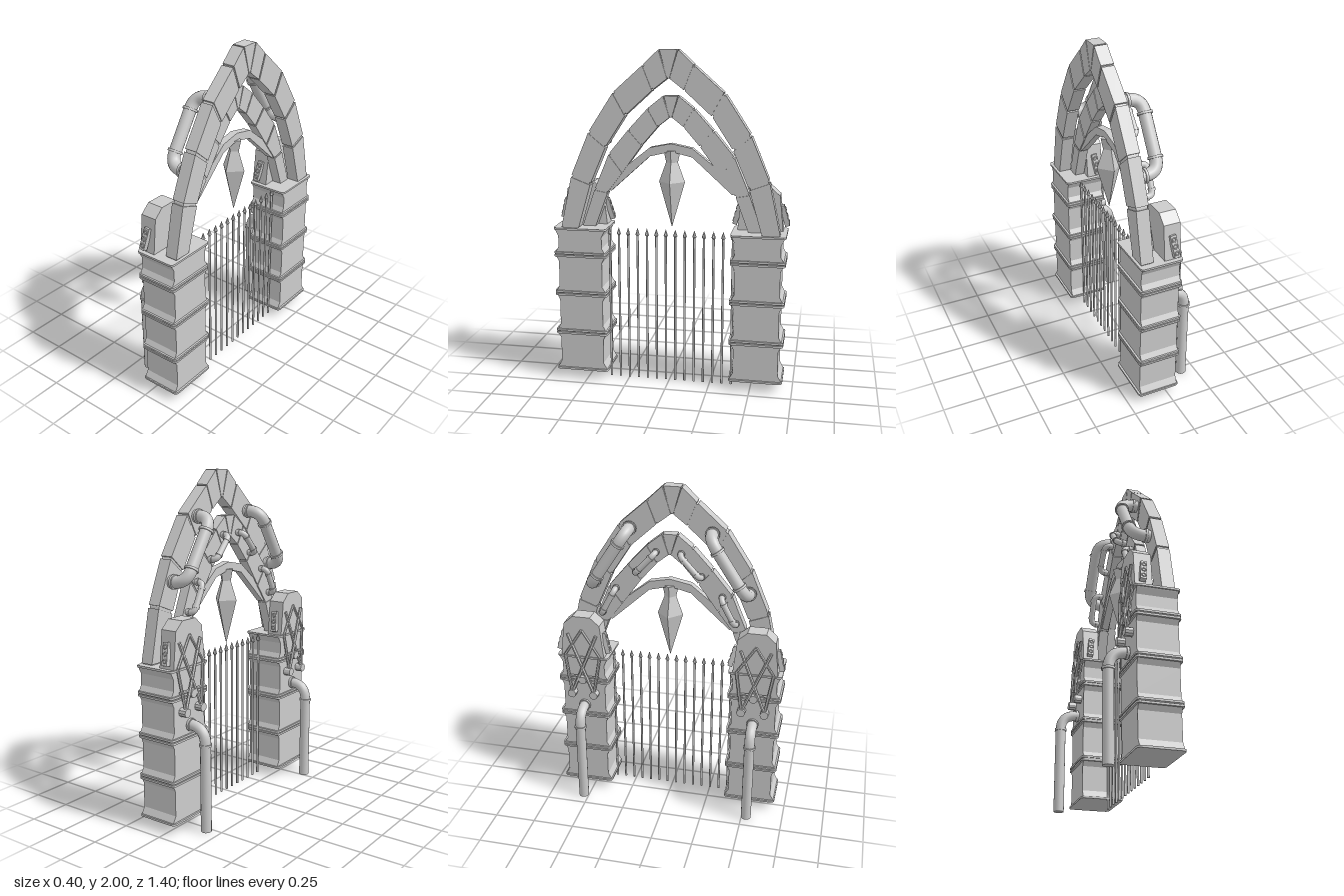
import * as THREE from 'three';

const mat = new THREE.MeshStandardMaterial({ color: 0xcccccc, flatShading: true });
const smooth = new THREE.MeshStandardMaterial({ color: 0xcccccc });
const V = (x, y, z) => new THREE.Vector3(x, y, z);

function add(parent, name, geo, m = mat) {
  const mesh = new THREE.Mesh(geo, m);
  mesh.name = name;
  parent.add(mesh);
  return mesh;
}

// Outline of [z, y] points given thickness from x0 to x1
function slab(points, x0, x1) {
  const shape = new THREE.Shape(points.map(([z, y]) => new THREE.Vector2(-z, y)));
  const geo = new THREE.ExtrudeGeometry(shape, { depth: x1 - x0, bevelEnabled: false });
  return geo.rotateY(Math.PI / 2).translate(x0, 0, 0);
}

const mix = (a, b, t) => [a[0] + (b[0] - a[0]) * t, a[1] + (b[1] - a[1]) * t];

// Voussoirs on both sides of a pointed arch, over a slightly recessed mortar core
function arch(parent, name, outer, inner, x0, x1) {
  const g = new THREE.Group();
  g.name = name;
  parent.add(g);
  for (const s of [1, -1]) {
    const place = ([z, y]) => [s * z - 0.01, y];
    for (let i = 0; i < outer.length - 1; i++) {
      const [o0, o1, n0, n1] = [outer[i], outer[i + 1], inner[i], inner[i + 1]];
      const block = [mix(o0, o1, 0.03), mix(o0, o1, 0.97), mix(n0, n1, 0.97), mix(n0, n1, 0.03)];
      add(g, 'archStone', slab(block.map(place), x0, x1));
      const core = [mix(o0, n0, 0.06), mix(o1, n1, 0.06), mix(n1, o1, 0.06), mix(n0, o0, 0.06)];
      add(g, 'archMortar', slab(core.map(place), x0 + 0.005, x1 - 0.005));
    }
  }
  const [o, n] = [outer[0], inner[0]];
  add(g, 'keystone', slab([[o[0] - 0.014, o[1]], [-o[0] - 0.006, o[1]], [-n[0] - 0.01, n[1]], [n[0] - 0.01, n[1]]], x0, x1));
}

// Cylinder between two points
function rod(parent, name, a, b, r, sides = 8, m = smooth) {
  const d = b.clone().sub(a);
  const mesh = add(parent, name, new THREE.CylinderGeometry(r, r, d.length(), sides), m);
  mesh.position.copy(a).addScaledVector(d, 0.5);
  mesh.quaternion.setFromUnitVectors(V(0, 1, 0), d.normalize());
  return mesh;
}

// Pipe with rounded corners and a collar at each end of every bend
function pipe(parent, name, pts, bend, r) {
  const path = new THREE.CurvePath();
  const toward = (a, b, d) => a.clone().add(b.clone().sub(a).setLength(d));
  const collar = (p, q) => rod(parent, 'pipeCollar', toward(p, q, -0.007), toward(p, q, 0.007), r * 1.2, 16);
  let last = pts[0];
  for (let i = 1; i < pts.length - 1; i++) {
    const a = toward(pts[i], pts[i - 1], bend), b = toward(pts[i], pts[i + 1], bend);
    path.add(new THREE.LineCurve3(last, a));
    path.add(new THREE.QuadraticBezierCurve3(a, toward(pts[i], pts[i], 0), b));
    collar(a, pts[i]);
    collar(b, pts[i]);
    last = b;
  }
  path.add(new THREE.LineCurve3(last, pts[pts.length - 1]));
  add(parent, name, new THREE.TubeGeometry(path, 64, r, 14, false), smooth);
  rod(parent, 'pipeEnd', pts[0], toward(pts[0], pts[1], 0.01), r * 0.99, 14);
}

function pillar(parent, side) {
  const g = new THREE.Group();
  g.name = 'pillar';
  g.position.z = side * 0.53 - 0.002;
  parent.add(g);

  // Waisted body with flared ends at each ledge
  const ledges = [0.063, 0.302, 0.548, 0.79, 0.948];
  const half = [];
  for (let i = 0; i < 4; i++) {
    const a = ledges[i], b = ledges[i + 1];
    half.push([0.155, a], [0.152, a + 0.012], [0.133, a + 0.045], [0.133, b - 0.045], [0.15, b - 0.012], [0.155, b]);
  }
  const mirrored = half.map(([z, y]) => [-z, y]).reverse();
  add(g, 'pillarBody', slab([...half, ...mirrored], -0.053, 0.182));

  // Round-cornered ledges
  ledges.forEach((y, i) => {
    const end = i === 0 || i === 4;
    for (const dy of end ? [0] : [-0.009, 0.009]) {
      const w = 0.129, d = 0.161, c = 0.025, s = new THREE.Shape();
      s.moveTo(-w + c, -d).lineTo(w - c, -d).quadraticCurveTo(w, -d, w, -d + c);
      s.lineTo(w, d - c).quadraticCurveTo(w, d, w - c, d).lineTo(-w + c, d);
      s.quadraticCurveTo(-w, d, -w, d - c).lineTo(-w, -d + c).quadraticCurveTo(-w, -d, -w + c, -d);
      const geo = new THREE.ExtrudeGeometry(s, { depth: 0.012, bevelEnabled: false, curveSegments: 4 });
      add(g, 'pillarLedge', geo.rotateX(-Math.PI / 2).translate(0.065, y + dy - 0.006, 0));
    }
  });

  // Tapered housing on top
  add(g, 'housing', slab([[-0.135, 0.95], [0.135, 0.95], [0.112, 1.165], [0.055, 1.215], [-0.055, 1.215], [-0.112, 1.165]], -0.058, 0.042));

  // Leaning vent plates on both ends of the housing
  for (const e of [1, -1]) {
    const vent = new THREE.Group();
    vent.name = 'vent';
    vent.position.set(-0.012, 1.04, e * 0.139);
    vent.rotation.set(-e * 0.27, 0, -0.12);
    g.add(vent);
    add(vent, 'ventPlate', new THREE.BoxGeometry(0.035, 0.13, 0.028));
    for (const y of [-0.04, 0, 0.04]) {
      const ring = add(vent, 'ventRing', new THREE.TorusGeometry(0.011, 0.004, 6, 10), smooth);
      ring.position.set(0, y, e * 0.015);
    }
  }

  // Crossed braces on the face, ending in knobs
  for (const e of [1, -1]) {
    rod(g, 'brace', V(-0.062, 1.1, e * 0.09), V(-0.085, 0.71, -e * 0.07), 0.01, 6, mat);
    rod(g, 'brace', V(-0.064, 0.96, e * 0.11), V(-0.085, 0.71, e * 0.07), 0.009, 6, mat);
    rod(g, 'brace', V(-0.062, 1.13, 0), V(-0.068, 0.96, e * 0.11), 0.008, 6, mat);
    rod(g, 'braceKnob', V(-0.055, 0.705, e * 0.07), V(-0.1, 0.705, e * 0.07), 0.026, 10, mat);
  }
  rod(g, 'braceRail', V(-0.072, 0.82, -0.1), V(-0.072, 0.82, 0.1), 0.009, 6, mat);
  rod(g, 'braceKnob', V(-0.055, 0.8, 0), V(-0.09, 0.8, 0), 0.025, 10, mat);

  // Drain pipe down to the ground
  pipe(g, 'drainPipe', [V(-0.165, 0, 0), V(-0.165, 0.615, 0), V(-0.05, 0.615, 0)], 0.1, 0.031);
}

export function createModel() {
  const model = new THREE.Group();
  model.name = 'archedGate';

  arch(model, 'outerArch',
    [[0.055, 2], [0.145, 1.915], [0.32, 1.76], [0.47, 1.53], [0.58, 1.27], [0.65, 0.95]],
    [[0.006, 1.84], [0.09, 1.775], [0.25, 1.63], [0.37, 1.445], [0.465, 1.225], [0.545, 0.95]], 0.105, 0.181);
  arch(model, 'innerArch',
    [[0.045, 1.737], [0.135, 1.665], [0.25, 1.54], [0.37, 1.395], [0.46, 1.18], [0.54, 0.95]],
    [[0.006, 1.615], [0.075, 1.56], [0.17, 1.45], [0.29, 1.285], [0.38, 1.165], [0.46, 0.95]], 0.047, 0.107);

  // Thin tapering rib under the arch
  add(model, 'archRib', slab([[-0.01, 1.462], [0.115, 1.437], [0.3, 1.29], [0.39, 1.19], [0.35, 1.172], [0.115, 1.385], [-0.01, 1.415],
    [-0.135, 1.385], [-0.37, 1.172], [-0.41, 1.19], [-0.32, 1.29], [-0.135, 1.437]], 0.055, 0.1));

  // Four-sided hanging spike
  const spike = [[0, 0.962], [0.077, 1.235], [0.035, 1.35], [0.05, 1.42], [0, 1.42]].map(p => new THREE.Vector2(...p));
  add(model, 'hangingSpike', new THREE.LatheGeometry(spike, 4).toNonIndexed()).position.set(0.076, 0, -0.012);

  for (const s of [1, -1]) {
    pillar(model, s);
    const p = (x, y, z) => V(x, y, s * z - 0.015);
    // Pipe loops bridging the arch stones
    pipe(model, 'largePipe', [p(0.11, 1.745, 0.245), p(-0.005, 1.745, 0.245), p(-0.005, 1.4, 0.47), p(0.11, 1.4, 0.47)], 0.085, 0.036);
    pipe(model, 'smallPipe', [p(0.055, 1.63, 0.075), p(-0.005, 1.63, 0.075), p(-0.005, 1.5, 0.195), p(0.055, 1.5, 0.195)], 0.035, 0.018);
    pipe(model, 'smallPipe', [p(0.055, 1.385, 0.32), p(-0.005, 1.385, 0.32), p(-0.005, 1.225, 0.405), p(0.055, 1.225, 0.405)], 0.035, 0.018);
  }

  // Portcullis bars with spear tips
  const gate = new THREE.Group();
  gate.name = 'gate';
  model.add(gate);
  for (let i = 0; i < 14; i++) {
    const z = 0.365 - i * 0.0573;
    rod(gate, 'gateBar', V(0.1, 0, z), V(0.1, 0.91, z), 0.007);
    const tip = [[0, 0.895], [0.013, 0.912], [0, 0.952]].map(q => new THREE.Vector2(...q));
    add(gate, 'gateSpearTip', new THREE.LatheGeometry(tip, 6)).position.set(0.1, 0, z);
  }
  return model;
}
